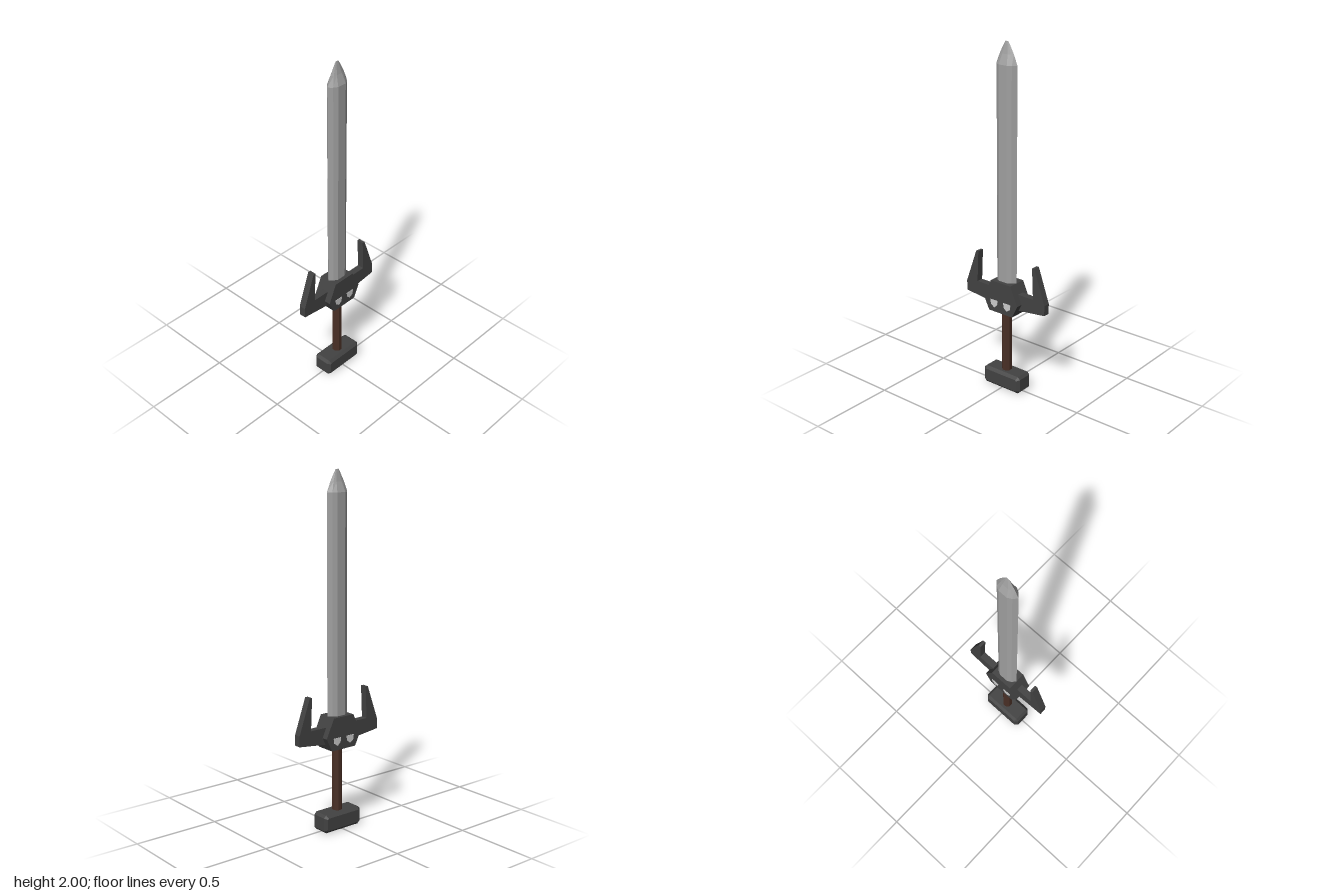
import * as THREE from 'three';

const material = (color) => new THREE.MeshStandardMaterial({ color, flatShading: true, side: THREE.DoubleSide });
const shapeOf = (pts) => new THREE.Shape(pts.map(([x, y]) => new THREE.Vector2(x, y)));
const mirror = (pts) => [...pts, ...pts.map(([x, y]) => [-x, y]).reverse()];

// Outline in the front plane, given thickness, centred on z
function slab(pts, depth, bevel = 0) {
  const geo = new THREE.ExtrudeGeometry(shapeOf(pts), {
    depth: depth - 2 * bevel, bevelEnabled: bevel > 0,
    bevelThickness: bevel, bevelSize: bevel, bevelOffset: -bevel, bevelSegments: 1,
  });
  return geo.translate(0, 0, -depth / 2 + bevel);
}

// Lens-shaped section lofted up to a narrow tip
function bladeGeometry() {
  const half = [[0.07, 0], [0.05, 0.022], [0.027, 0.035], [-0.027, 0.035], [-0.05, 0.022]];
  const section = [...half.map(([x, z]) => [x, -z]), ...half.map(([x, z]) => [-x, z])];
  const rings = [[0.6, 1, 1], [1.88, 1, 1], [1.935, 0.67, 0.47], [1.985, 0.28, 0.15], [2, 0.14, 0.03]];
  const n = section.length, pos = [], idx = [];
  for (const [y, sx, sz] of rings) for (const [x, z] of section) pos.push(x * sx, y, z * sz);
  for (let r = 0; r < rings.length - 1; r++) {
    for (let i = 0; i < n; i++) {
      const a = r * n + i, b = r * n + (i + 1) % n;
      idx.push(a, b, b + n, a, b + n, a + n);
    }
  }
  const top = (rings.length - 1) * n;
  for (let i = 1; i < n - 1; i++) idx.push(top, top + i, top + i + 1, 0, i + 1, i);
  const geo = new THREE.BufferGeometry();
  geo.setAttribute('position', new THREE.Float32BufferAttribute(pos, 3));
  geo.setIndex(idx);
  geo.computeVertexNormals();
  return geo;
}

export function createModel() {
  const model = new THREE.Group();
  model.name = 'sword';
  const dark = material(0x424242), steel = material(0xa0a0a0);
  const bone = material(0xcccccc), wood = material(0x4a3026);
  const add = (name, geo, mat) => {
    const mesh = new THREE.Mesh(geo, mat);
    mesh.name = name;
    model.add(mesh);
    return mesh;
  };

  add('blade', bladeGeometry(), steel);

  // Guard: faceted skull-like block
  add('guardBlock', slab(mirror([[0.07, 0.66], [0.12, 0.55], [0.083, 0.475]]), 0.114), dark);

  // Horns and eye sockets on both sides
  const horn = [[0.07, 0.605], [0.2, 0.605], [0.192, 0.79], [0.208, 0.79], [0.279, 0.59], [0.279, 0.53], [0.07, 0.505]];
  const eye = [[0.072, 0.546], [0.02, 0.546], [0.024, 0.518], [0.044, 0.5], [0.068, 0.516]];
  for (const s of [1, -1]) {
    const flip = (pts) => pts.map(([x, y]) => [x * s, y]);
    const side = s > 0 ? 'left' : 'right';
    add(side + 'Horn', slab(flip(horn), 0.04), dark);
    for (const f of [1, -1]) {
      const socket = add(side + (f > 0 ? 'FrontEye' : 'BackEye'), slab(flip(eye), 0.004), bone);
      socket.position.z = f * 0.057;
    }
  }

  // Octagonal grip
  const grip = new THREE.CylinderGeometry(0.029, 0.029, 0.4, 8).rotateY(Math.PI / 8);
  add('grip', grip.translate(0, 0.29, 0), wood);

  // Chamfered pommel block
  const pommel = mirror([[0.115, 0.105], [0.13, 0.09], [0.13, 0.015], [0.115, 0]]);
  add('pommel', slab(pommel, 0.118, 0.016), dark);

  return model;
}
